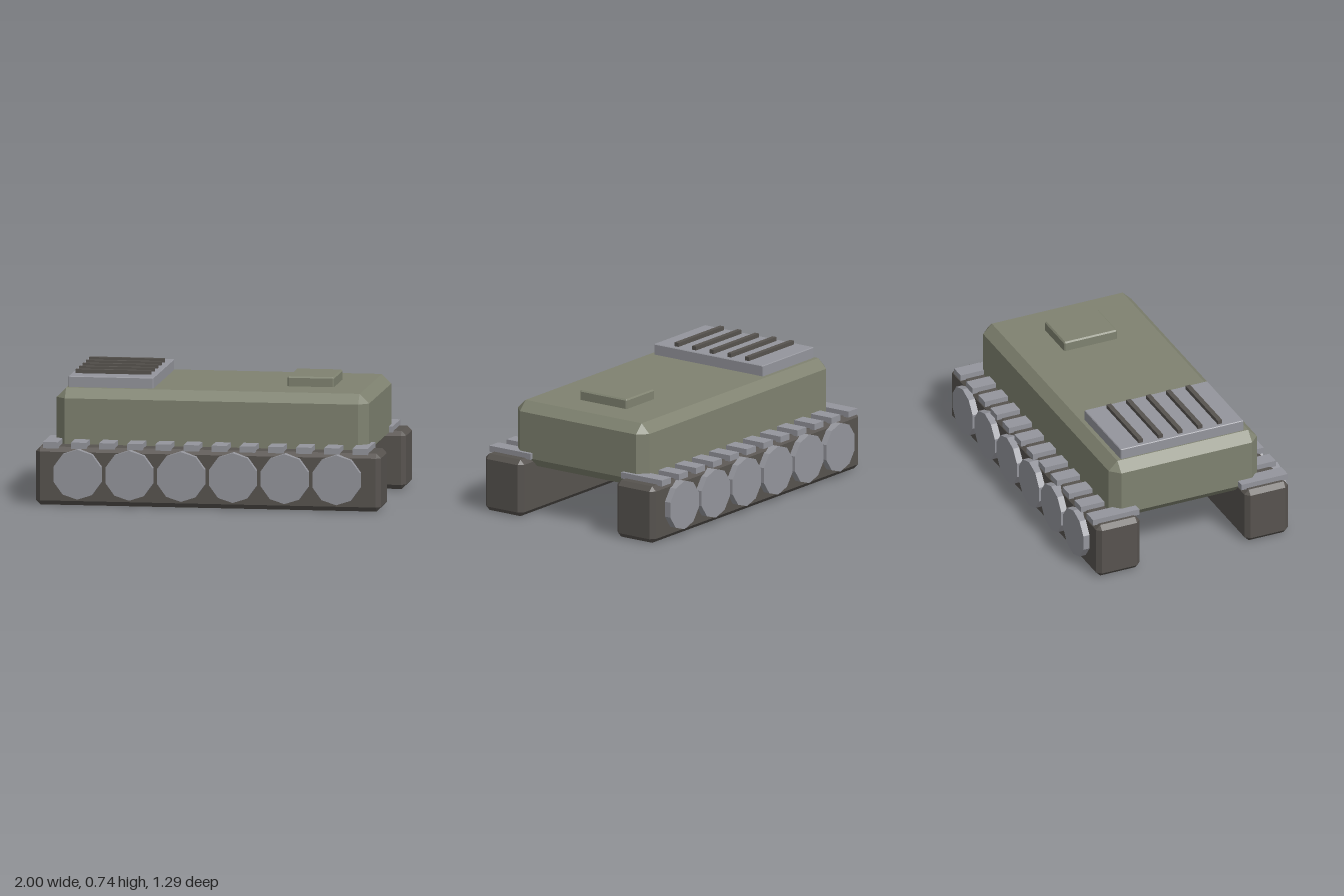
import * as THREE from 'three';
import { ConvexGeometry } from 'three/addons/geometries/ConvexGeometry.js';

const paint = (name, color) => {
  const m = new THREE.MeshStandardMaterial({ color });
  m.name = name;
  return m;
};

// Box spanning the given ranges with every edge cut by a flat chamfer
function chamferBox([x0, x1], [y0, y1], [z0, z1], c) {
  const h = [(x1 - x0) / 2, (y1 - y0) / 2, (z1 - z0) / 2];
  const points = [];
  for (const sx of [-1, 1]) for (const sy of [-1, 1]) for (const sz of [-1, 1])
    for (let full = 0; full < 3; full++) {
      const [x, y, z] = h.map((v, i) => (i === full ? v : v - c));
      points.push(new THREE.Vector3(sx * x, sy * y, sz * z));
    }
  return new ConvexGeometry(points).translate((x0 + x1) / 2, (y0 + y1) / 2, (z0 + z1) / 2);
}

export function createModel() {
  const model = new THREE.Group();
  model.name = 'trackedHull';
  const olive = paint('olive', 0x7f8270);
  const darkTrack = paint('darkTrack', 0x57534f);
  const steel = paint('steel', 0x94959c);

  const add = (parent, name, geometry, material, x = 0, y = 0, z = 0) => {
    const mesh = new THREE.Mesh(geometry, material);
    mesh.name = name;
    mesh.position.set(x, y, z);
    parent.add(mesh);
    return mesh;
  };

  // Hull and roof hatch
  add(model, 'hull', chamferBox([-0.905, 0.905], [0.275, 0.655], [-0.468, 0.468], 0.055), olive);
  add(model, 'hatch', chamferBox([0.393, 0.663], [0.64, 0.712], [-0.168, 0.168], 0.008), olive);

  // Engine deck with raised grille bars
  add(model, 'engineDeck', chamferBox([-0.842, -0.35], [0.64, 0.718], [-0.388, 0.388], 0.004), steel);
  const bar = new THREE.BoxGeometry(0.436, 0.026, 0.028);
  for (let i = -2; i <= 2; i++) add(model, 'grilleBar', bar, darkTrack, -0.6, 0.728, i * 0.125);

  // Track units: body, tread pads on top, road wheels on the outer face
  const body = chamferBox([-1, 1], [0, 0.336], [-0.137, 0.137], 0.027);
  const pad = new THREE.BoxGeometry(0.088, 0.036, 0.292);
  const wheel = new THREE.CylinderGeometry(0.144, 0.144, 0.08, 10).toNonIndexed();
  wheel.rotateX(Math.PI / 2);
  wheel.computeVertexNormals();
  for (const side of [1, -1]) {
    const track = new THREE.Group();
    track.name = side > 0 ? 'frontTrack' : 'backTrack';
    track.position.z = side * 0.469;
    model.add(track);
    add(track, 'trackBody', body, darkTrack);
    for (let i = 0; i < 12; i++) add(track, 'treadPad', pad, steel, -0.91 + i * 0.163, 0.348, 0);
    for (let i = 0; i < 6; i++) add(track, 'roadWheel', wheel, steel, -0.75 + i * 0.3, 0.185, side * 0.136);
  }
  return model;
}
